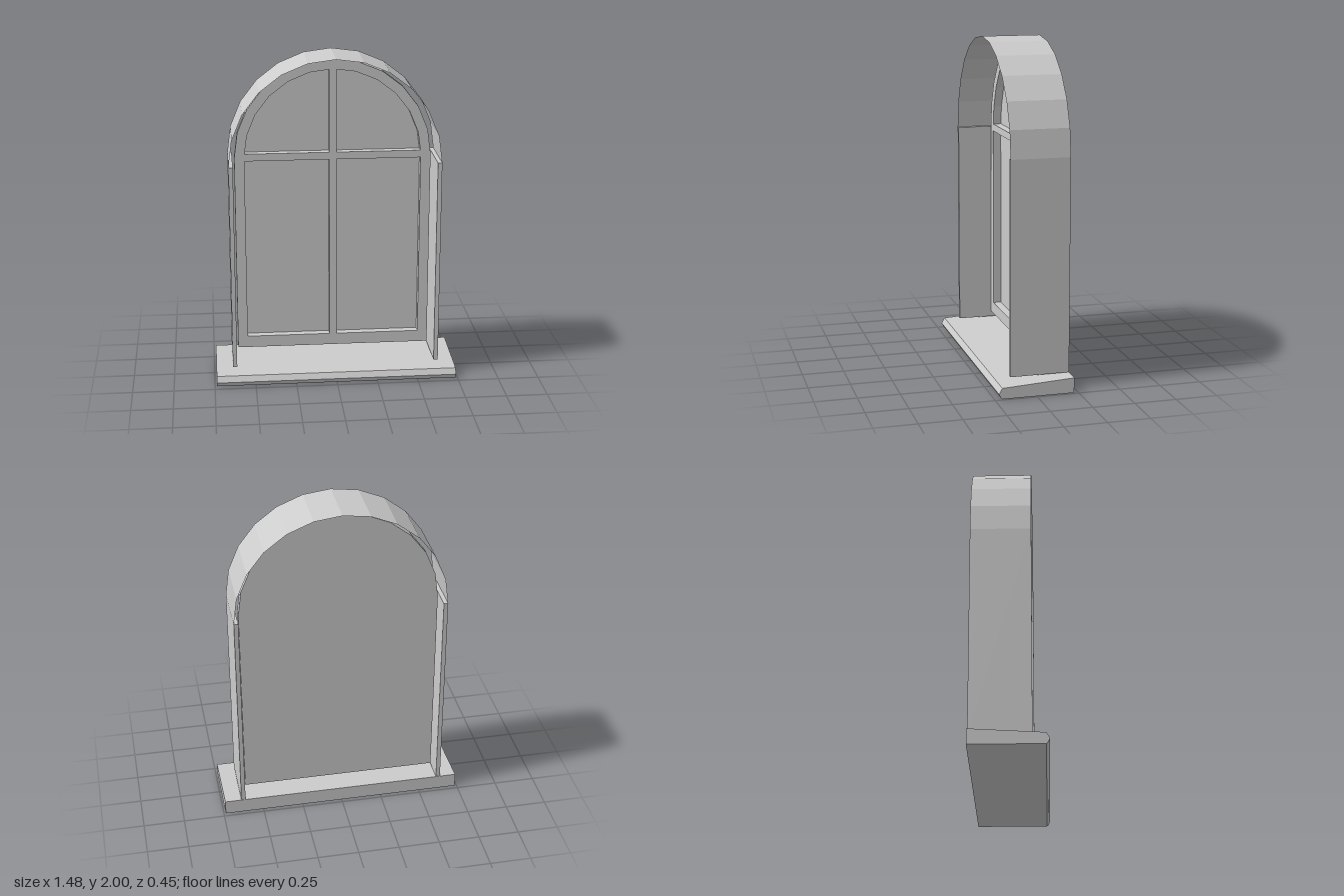
import * as THREE from 'three';

const SPRING = 1.365;   // height where the arch begins
const STEPS = 12;       // facets in each half circle
const BACK = -0.225, FRONT = 0.13;   // depth of the reveal
const SASH_BACK = -0.13, SASH_DEPTH = 0.05;

// Points of the half circle, from +x over the top to -x
function arc(radius) {
  return Array.from({ length: STEPS + 1 }, (_, i) => {
    const a = (i / STEPS) * Math.PI;
    return new THREE.Vector2(radius * Math.cos(a), SPRING + radius * Math.sin(a));
  });
}

// The four openings of the sash
function paneOutlines() {
  const bar = 0.022, r = 0.538, low = 1.39;
  const outlines = [];
  for (const s of [1, -1]) {
    const rect = [[bar, 0.205], [0.537, 0.205], [0.537, 1.345], [bar, 1.345]];
    const top = [[bar, low], [0.535, low]];
    for (const p of arc(r).slice(1, STEPS / 2)) top.push([p.x, p.y]);
    top.push([bar, 1.9]);
    for (const pts of [rect, top]) {
      outlines.push(pts.map(([x, y]) => new THREE.Vector2(s * x, y)));
    }
  }
  return outlines;
}

export function createModel() {
  const group = new THREE.Group();
  const stone = new THREE.MeshStandardMaterial({ color: 0xcccccc, flatShading: true, side: THREE.DoubleSide });
  stone.name = 'plain grey';
  const add = (name, geometry) => {
    const mesh = new THREE.Mesh(geometry, stone);
    mesh.name = name;
    group.add(mesh);
    return mesh;
  };

  // Sloping sill with a bevelled nose, extruded along x
  const profile = [[-0.225, 0], [0.205, 0], [0.213, 0.007], [0.225, 0.03], [0.205, 0.065], [-0.225, 0.09]];
  const sillShape = new THREE.Shape(profile.map(([z, y]) => new THREE.Vector2(-z, y)));
  const sill = new THREE.ExtrudeGeometry(sillShape, { depth: 1.476, bevelEnabled: false });
  sill.translate(0, 0, -0.738).rotateY(Math.PI / 2);
  add('sill', sill);

  // Upright linings on both sides
  for (const [name, s] of [['leftJamb', 1], ['rightJamb', -1]]) {
    const jamb = new THREE.BoxGeometry(0.026, SPRING - 0.092, FRONT - BACK);
    add(name, jamb).position.set(s * 0.624, (SPRING + 0.092) / 2, (FRONT + BACK) / 2);
  }

  // Thin arched lining: one strip of quads over the top
  const positions = [], indices = [];
  arc(0.637).forEach((p, i) => {
    positions.push(p.x, p.y, FRONT, p.x, p.y, BACK);
    if (i < STEPS) {
      const a = i * 2;
      indices.push(a, a + 1, a + 2, a + 1, a + 3, a + 2);
    }
  });
  const lining = new THREE.BufferGeometry();
  lining.setAttribute('position', new THREE.Float32BufferAttribute(positions, 3));
  lining.setIndex(indices);
  lining.computeVertexNormals();
  add('archLining', lining);

  // Arched sash with its glazing bars
  const outline = [new THREE.Vector2(-0.598, 0.132), new THREE.Vector2(0.598, 0.132), ...arc(0.598)];
  const sashShape = new THREE.Shape(outline);
  const panes = paneOutlines();
  panes.forEach((pts) => sashShape.holes.push(new THREE.Path(pts)));
  const sash = new THREE.ExtrudeGeometry(sashShape, { depth: SASH_DEPTH, bevelEnabled: false });
  add('sash', sash).position.z = SASH_BACK;

  // Panes flush with the back of the sash
  panes.forEach((pts, i) => {
    add(`pane${i + 1}`, new THREE.ShapeGeometry(new THREE.Shape(pts))).position.z = SASH_BACK;
  });

  return group;
}
